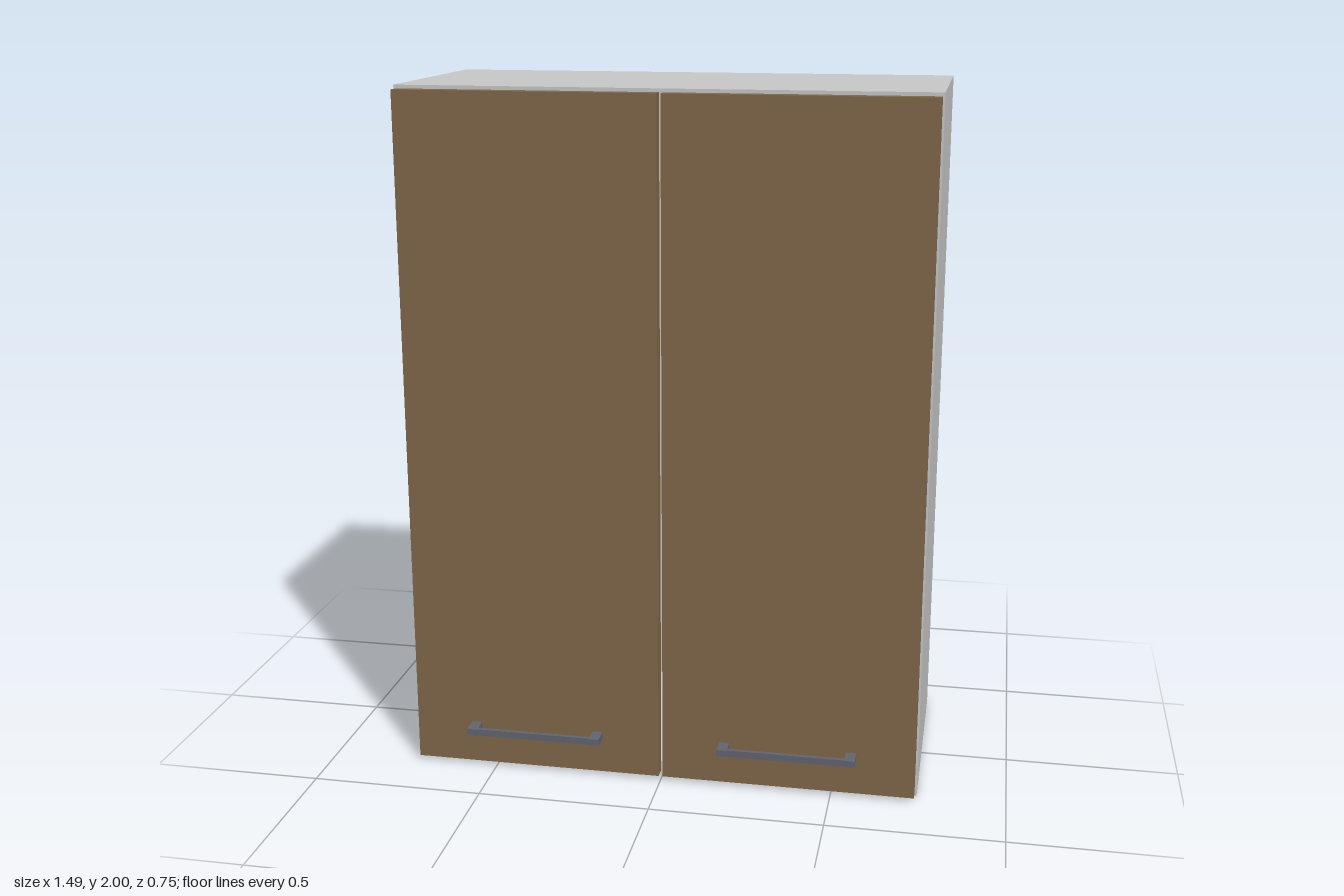
import * as THREE from 'three';

const paint = (name, color) => {
  const m = new THREE.MeshStandardMaterial({ color });
  m.name = name;
  return m;
};

export function createModel() {
  const model = new THREE.Group();
  model.name = 'wallCabinet';
  const grey = paint('carcass grey', 0xc8c8c8);
  const brown = paint('door brown', 0x80684a);
  const metal = paint('handle metal', 0x62646f);

  // Box given by its minimum and maximum corners
  const box = (name, material, [x0, y0, z0], [x1, y1, z1], parent = model) => {
    const mesh = new THREE.Mesh(new THREE.BoxGeometry(x1 - x0, y1 - y0, z1 - z0), material);
    mesh.position.set((x0 + x1) / 2, (y0 + y1) / 2, (z0 + z1) / 2);
    mesh.name = name;
    parent.add(mesh);
  };

  // Carcass panels
  const W = 0.746, T = 0.04, back = -0.373, front = 0.28;
  const inner = W - T;
  box('rightSidePanel', grey, [-W, 0, back], [-inner, 2, front]);
  box('leftSidePanel', grey, [inner, 0, back], [W, 2, front]);
  box('topPanel', grey, [-inner, 2 - T, back], [inner, 2, front]);
  box('bottomPanel', grey, [-inner, 0, back], [inner, T, front]);
  box('backPanel', grey, [-inner, T, back], [inner, 2 - T, back + 0.02]);

  // Two doors, each with a bar handle on two posts
  for (const [side, cx] of [['right', -0.373], ['left', 0.373]]) {
    const door = new THREE.Group();
    door.name = side + 'Door';
    door.position.x = cx;
    model.add(door);
    box('doorPanel', brown, [-0.367, 0.012, front], [0.367, 1.99, 0.32], door);

    const handle = new THREE.Group();
    handle.name = side + 'Handle';
    door.add(handle);
    const h = 0.199, y0 = 0.118, y1 = 0.138;
    box('handleBar', metal, [-h + 0.03, y0, 0.358], [h - 0.03, y1, 0.37], handle);
    box('handlePost', metal, [-h, y0, 0.32], [-h + 0.03, y1, 0.373], handle);
    box('handlePost', metal, [h - 0.03, y0, 0.32], [h, y1, 0.373], handle);
  }
  return model;
}
